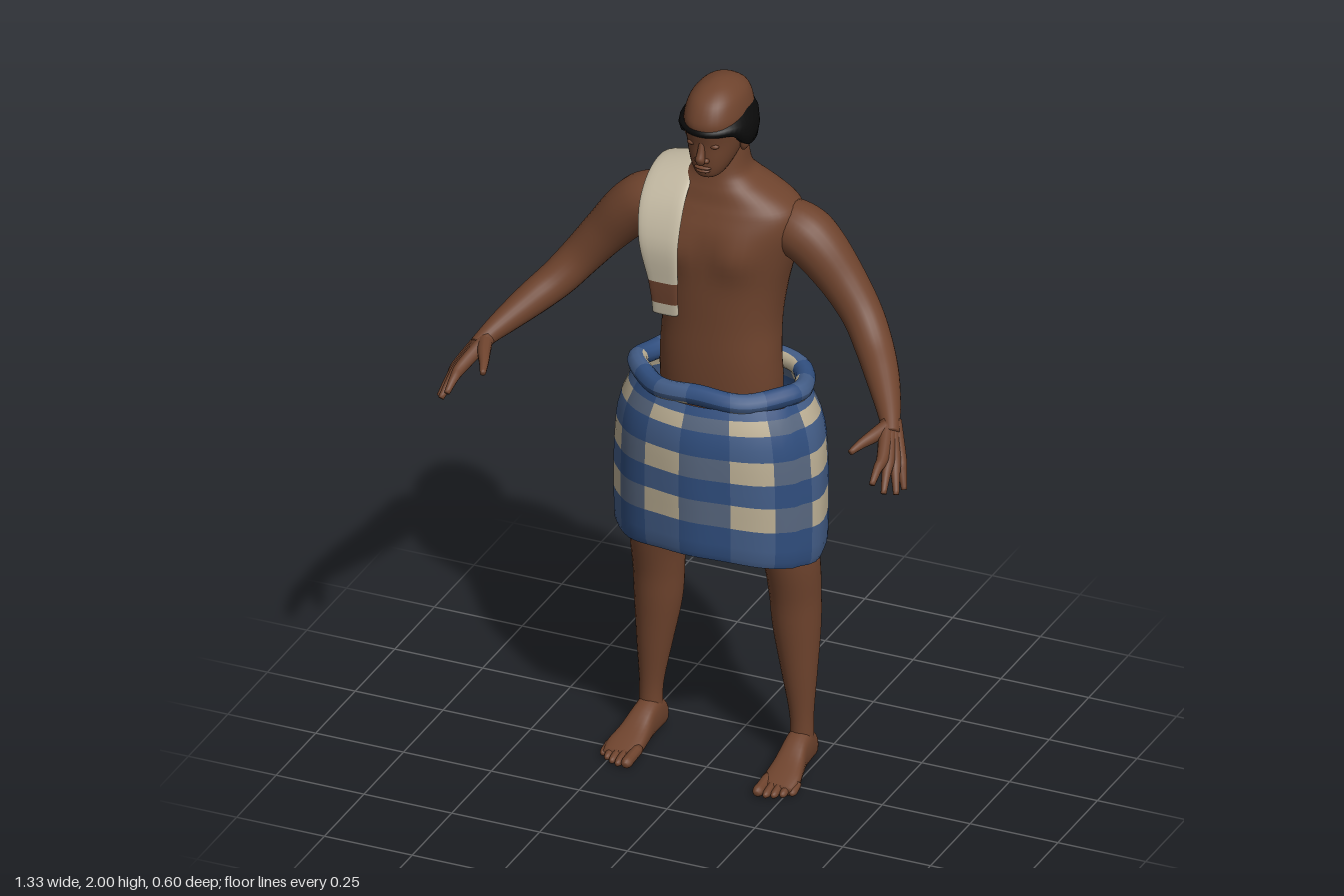
import * as THREE from 'three';

const mat = (name, color, side = THREE.FrontSide) => {
  const m = new THREE.MeshStandardMaterial({ color, side });
  m.name = name;
  return m;
};

// Skin over a list of equal rings; pick(i, j) chooses a material index per quad
function loft(rings, { caps = true, pick = () => 0 } = {}) {
  const n = rings[0].length, pos = rings.flat().flatMap(p => [p.x, p.y, p.z]);
  const lists = [];
  const add = (k, ...t) => (lists[k] ??= []).push(...t);
  for (let i = 0; i < rings.length - 1; i++) for (let j = 0; j < n; j++) {
    const a = i * n + j, b = i * n + (j + 1) % n, c = a + n, d = b + n;
    add(pick(i, j), a, c, b, b, c, d);
  }
  if (caps) [0, rings.length - 1].forEach((r, e) => {
    const m = rings[r].reduce((s, p) => s.add(p), new THREE.Vector3()).divideScalar(n);
    const q = pos.length / 3;
    pos.push(m.x, m.y, m.z);
    for (let j = 0; j < n; j++) {
      const a = r * n + j, b = r * n + (j + 1) % n;
      add(pick(Math.max(r - 1, 0), j), q, e ? b : a, e ? a : b);
    }
  });
  const g = new THREE.BufferGeometry();
  g.setAttribute('position', new THREE.Float32BufferAttribute(pos, 3));
  g.setIndex(lists.flat());
  let start = 0;
  lists.forEach((l, k) => { g.addGroup(start, l.length, k); start += l.length; });
  g.computeVertexNormals();
  return g;
}

// Smoothly resample rows of numbers
function smooth(rows, steps) {
  const out = [], at = i => rows[Math.min(Math.max(i, 0), rows.length - 1)];
  const cr = (a, b, c, d, t) => b + 0.5 * t * (c - a + t * (2 * a - 5 * b + 4 * c - d + t * (3 * (b - c) + d - a)));
  for (let i = 0; i < rows.length - 1; i++) for (let s = 0; s < steps; s++)
    out.push(at(i).map((_, k) => cr(at(i - 1)[k], at(i)[k], at(i + 1)[k], at(i + 2)[k], s / steps)));
  out.push(at(rows.length - 1));
  return out;
}

const ring = (n, f) => Array.from({ length: n }, (_, j) => f(j / n * Math.PI * 2, j));
const sup = (v, e = 0.88) => Math.sign(v) * Math.abs(v) ** e;
const V = (x, y, z) => new THREE.Vector3(x, y, z);

// Horizontal sections [y, half width, back z, front z]
const stack = (rows, steps, n, bump = () => 0) => loft(smooth(rows, steps).map(([y, rx, zb, zf]) =>
  ring(n, a => {
    const x = rx * sup(Math.cos(a)), s = Math.sin(a);
    return V(x, y, (zb + zf) / 2 + (zf - zb) / 2 * sup(s) + bump(x, y, s));
  })));

// Round limb through rows [x, y, z, radius]
function limb(rows, steps = 4, n = 16) {
  const pts = smooth(rows, steps);
  const curve = new THREE.CatmullRomCurve3(rows.map(r => V(r[0], r[1], r[2])), false, 'centripetal');
  const f = curve.computeFrenetFrames(pts.length - 1, false);
  return loft(pts.map(([x, y, z, r], i) => ring(n, a => V(x, y, z)
    .addScaledVector(f.normals[i], r * Math.cos(a)).addScaledVector(f.binormals[i], -r * Math.sin(a)))));
}

export function createModel() {
  const model = new THREE.Group();
  model.name = 'figure';
  const D = THREE.DoubleSide;
  const skin = mat('skin', 0x6e432d), black = mat('hairBlack', 0x0b0b0b, D);
  const blue = mat('clothBlue', 0x304e7e, D), midBlue = mat('clothMidBlue', 0x435d87, D);
  const grey = mat('clothGreyBlue', 0x58677f, D), cream = mat('clothCream', 0xbdb095, D);
  const linen = mat('towelLinen', 0xc6bca5, D), brown = mat('towelBrown', 0x6e432f, D);
  const add = (name, geo, material, parent = model) => {
    const m = new THREE.Mesh(geo, material);
    m.name = name;
    parent.add(m);
    return m;
  };
  const blob = (name, x, y, z, sx, sy, sz) => {
    const m = add(name, new THREE.SphereGeometry(1, 20, 14), skin);
    m.position.set(x, y, z);
    m.scale.set(sx, sy, sz);
    return m;
  };

  // Torso and neck, with chest swell and spine groove
  const bell = (v, w) => Math.exp(-((v / w) ** 2));
  add('torso', stack([
    [0.95, 0.15, -0.2, 0], [1.1, 0.165, -0.21, 0.015], [1.2, 0.163, -0.205, 0.02], [1.3, 0.16, -0.225, 0.02],
    [1.4, 0.172, -0.243, 0.022], [1.5, 0.195, -0.253, 0.022], [1.58, 0.212, -0.253, 0.018],
    [1.63, 0.212, -0.242, 0.002], [1.66, 0.185, -0.23, -0.01], [1.69, 0.136, -0.214, -0.018], [1.712, 0.1, -0.198, -0.025],
    [1.74, 0.075, -0.18, -0.032], [1.8, 0.067, -0.165, -0.042], [1.86, 0.064, -0.165, -0.05],
  ], 4, 48, (x, y, s) => s > 0
    ? s * 0.02 * bell(Math.abs(x) - 0.09, 0.06) * bell(y - 1.52, 0.06)
    : -s * 0.018 * bell(x, 0.03) * bell(y - 1.42, 0.2)), skin);

  // Head
  add('head', stack([
    [1.748, 0.022, -0.06, 0.008], [1.757, 0.036, -0.08, 0.02], [1.78, 0.05, -0.11, 0.027],
    [1.81, 0.062, -0.15, 0.031], [1.85, 0.072, -0.185, 0.034], [1.89, 0.077, -0.198, 0.043],
    [1.92, 0.079, -0.2, 0.043], [1.96, 0.068, -0.183, 0.022], [1.985, 0.046, -0.15, -0.012],
    [1.997, 0.02, -0.11, -0.05], [2.0, 0.003, -0.084, -0.078],
  ], 4, 36), skin);
  add('nose', limb([[0, 1.87, 0.026, 0.007], [0, 1.835, 0.035, 0.01], [0, 1.812, 0.042, 0.013], [0, 1.804, 0.034, 0.01]]), skin);
  blob('upperLip', 0, 1.785, 0.024, 0.024, 0.006, 0.011);
  blob('lowerLip', 0, 1.775, 0.022, 0.02, 0.006, 0.011);
  for (const s of [1, -1]) {
    blob('nostril', s * 0.012, 1.809, 0.031, 0.009, 0.008, 0.009);
    blob('eyelid', s * 0.031, 1.852, 0.022, 0.014, 0.007, 0.009);
    blob('ear', s * 0.08, 1.84, -0.07, 0.013, 0.032, 0.02).rotation.z = -s * 0.2;
  }

  // Hair band: thin across the forehead, deep at the nape
  const hair = [[0.062, 0.1, 0], [0.095, 0.123, 0], [0.101, 0.128, 0.35], [0.097, 0.127, 0.7], [0.076, 0.119, 1]];
  add('hairBand', loft(hair.map(([rx, rz, t]) => ring(48, a => {
    const f = Math.sin(a), step = THREE.MathUtils.smoothstep(f, 0.1, 0.75);
    const low = 1.83 + 0.052 * step - 0.008 * Math.max(0, -f), high = 1.927 - 0.022 * Math.max(0, f);
    return V(rx * Math.cos(a), low + (high - low) * t, -0.08 + rz * f);
  })), { caps: false }), black);

  // Arms, hands, legs and feet
  for (const s of [1, -1]) {
    const side = s > 0 ? 'left' : 'right';
    const mir = rows => rows.map(([x, ...r]) => [s * x, ...r]);
    add(side + 'Arm', limb(mir([
      [0.1, 1.59, -0.13, 0.04], [0.16, 1.585, -0.128, 0.068], [0.215, 1.57, -0.126, 0.078], [0.27, 1.53, -0.122, 0.073],
      [0.34, 1.45, -0.117, 0.062], [0.4, 1.375, -0.1, 0.055], [0.45, 1.315, -0.06, 0.051], [0.5, 1.27, 0, 0.045],
      [0.545, 1.23, 0.065, 0.035], [0.572, 1.205, 0.11, 0.027], [0.587, 1.185, 0.14, 0.024],
    ]), 5, 24), skin);

    const hand = new THREE.Group();
    hand.name = side + 'Hand';
    model.add(hand);
    const tips = [[0.655, 1.068, 0.205], [0.65, 1.072, 0.245], [0.63, 1.088, 0.28], [0.605, 1.118, 0.298]];
    tips.forEach((t, i) => {
      const o = (i - 1.5) * 0.02, k = [0.615 - 0.5 * o, 1.145 + 0.4 * o, 0.195 + 0.75 * o];
      const mid = k.map((v, c) => (v + t[c]) / 2 + (c === 1 ? 0.006 : 0));
      add('finger', limb(mir([[0.574 - 0.2 * o, 1.203, 0.112 + 0.3 * o, 0.021], [...k, 0.017], [...mid, 0.0125], [...t, 0.008]]), 4, 10), skin, hand);
    });
    add('thumb', limb(mir([[0.575, 1.2, 0.12, 0.021], [0.555, 1.19, 0.175, 0.018], [0.537, 1.182, 0.215, 0.013], [0.523, 1.172, 0.253, 0.008]]), 4, 10), skin, hand);

    add(side + 'Leg', limb(mir([
      [0.09, 1.02, -0.1, 0.08], [0.125, 0.85, -0.1, 0.1], [0.17, 0.7, -0.107, 0.084], [0.191, 0.6, -0.116, 0.075],
      [0.194, 0.5, -0.13, 0.069], [0.197, 0.4, -0.134, 0.064], [0.206, 0.27, -0.13, 0.048],
      [0.214, 0.14, -0.127, 0.032], [0.215, 0.05, -0.126, 0.033],
    ]), 5, 24), skin);
    add(side + 'Foot', loft(smooth([
      [-0.187, 0.213, 0.01, 0.04], [-0.172, 0.213, 0.028, 0.07], [-0.13, 0.214, 0.034, 0.105], [-0.08, 0.216, 0.036, 0.095],
      [-0.03, 0.22, 0.043, 0.065], [0.02, 0.224, 0.05, 0.043], [0.06, 0.223, 0.046, 0.025],
    ], 4).map(([z, x, w, h]) => ring(20, a => V(s * x + w * sup(Math.cos(a), 0.8), h / 2 - h / 2 * sup(Math.sin(a), 0.7), z)))), skin);
    for (let i = 0; i < 5; i++) {
      const x = 0.187 + i * 0.0195 + (i ? 0.004 : 0), r = i ? 0.0105 : 0.015, end = 0.092 - 0.0025 * i * i;
      add('toe', limb(mir([[x - 0.001, 0.022, 0.02, r], [x, 0.017, end - 0.025, r], [x, r, end, r], [x, r * 0.9, end + 0.012, r * 0.45]]), 3, 10), skin);
    }
  }

  // Checked wrap: columns evenly spaced around an ellipse
  const cols = 56, checks = [cream, midBlue, grey, blue];
  const around = new THREE.EllipseCurve(0, 0, 0.285, 0.205).getSpacedPoints(cols).map(p => [p.x / 0.285, p.y / 0.205]);
  const paleCol = j => Math.floor((j + 2 - (j > 11 && j < 53 ? 1 : 0)) / 4) % 2 === 0;
  const profile = [[0.635, 0.28, 0.196], [0.655, 0.288, 0.203], [0.69, 0.29, 0.205], [0.75, 0.291, 0.206], [0.787, 0.291, 0.207],
    [0.825, 0.291, 0.208], [0.86, 0.29, 0.208], [0.895, 0.289, 0.208], [0.93, 0.287, 0.208], [0.965, 0.285, 0.207],
    [1.0, 0.28, 0.205], [1.04, 0.27, 0.197], [1.08, 0.252, 0.183], [1.105, 0.24, 0.172]];
  const paleRow = i => {
    const y = (profile[i][0] + profile[i + 1][0]) / 2;
    return (y > 1.04 && y < 1.08) || (y > 0.895 && y < 0.965) || (y > 0.75 && y < 0.825);
  };
  add('wrap', loft(profile.map(([y, rx, rz]) => ring(cols, (_, j) => {
    const [u, v] = around[j], k = (1.105 - y) / 0.47;
    // Overlapping edge on the left hip, soft folds and a raised front hem
    const lap = j >= 4 ? 0.035 * Math.max(0, 1 - (j - 4) / 8) : 0;
    const f = 1 + lap + 0.012 * Math.sin(Math.atan2(v, u) * 9) * Math.min(1, k * 2);
    return V(u * rx * f, y + 0.04 * k * Math.max(0, v) ** 2, -0.095 + v * rz * f);
  })), { caps: false, pick: (i, j) => paleCol(j) ? (paleRow(i) ? 0 : 1) : (paleRow(i) ? 2 : 3) }), checks);

  // Rolled waistband, pale patches showing on its inner side
  add('waistRoll', loft(Array.from({ length: 13 }, (_, i) => ring(cols, (_, j) => {
    const [u, v] = around[j], t = i / 12 * Math.PI * 2, w = Math.atan2(v, u);
    const r = 0.027 * Math.cos(t) + 0.004 * Math.sin(w * 7);
    return V(u * (0.228 + r), 1.12 + 0.028 * Math.sin(t) + 0.005 * Math.sin(w * 5), -0.1 + v * (0.156 + r));
  })), { caps: false, pick: (i, j) => paleCol(j) ? (i > 3 && i < 11 ? 0 : 1) : 3 }), checks);

  // Towel over the right shoulder: [y, z, centre x, half width]
  const path = smooth([
    [1.335, 0.032, -0.102, 0.036], [1.37, 0.037, -0.102, 0.037], [1.435, 0.045, -0.104, 0.042], [1.54, 0.05, -0.115, 0.055],
    [1.63, 0.018, -0.122, 0.063], [1.685, -0.035, -0.126, 0.066], [1.709, -0.1, -0.128, 0.067], [1.706, -0.17, -0.128, 0.067],
    [1.67, -0.228, -0.127, 0.066], [1.6, -0.258, -0.122, 0.062], [1.48, -0.272, -0.115, 0.056], [1.35, -0.27, -0.11, 0.05],
  ], 4);
  add('shoulderTowel', loft(path.map(([y, z, cx, w], i) => {
    const a = path[Math.max(i - 1, 0)], b = path[Math.min(i + 1, path.length - 1)];
    const n = V(1, 0, 0).cross(V(0, b[0] - a[0], b[1] - a[1]).normalize());
    const slope = 0.22 * THREE.MathUtils.smoothstep(y, 1.55, 1.7);
    return ring(20, t => {
      const dx = w * sup(Math.cos(t), 0.6), h = 0.009 * sup(Math.sin(t), 0.6);
      return V(cx + dx, y + slope * dx + n.y * h, z + n.z * h);
    });
  }), { pick: i => (i >= 4 && i < 8 ? 1 : 0) }), [linen, brown]);

  return model;
}
